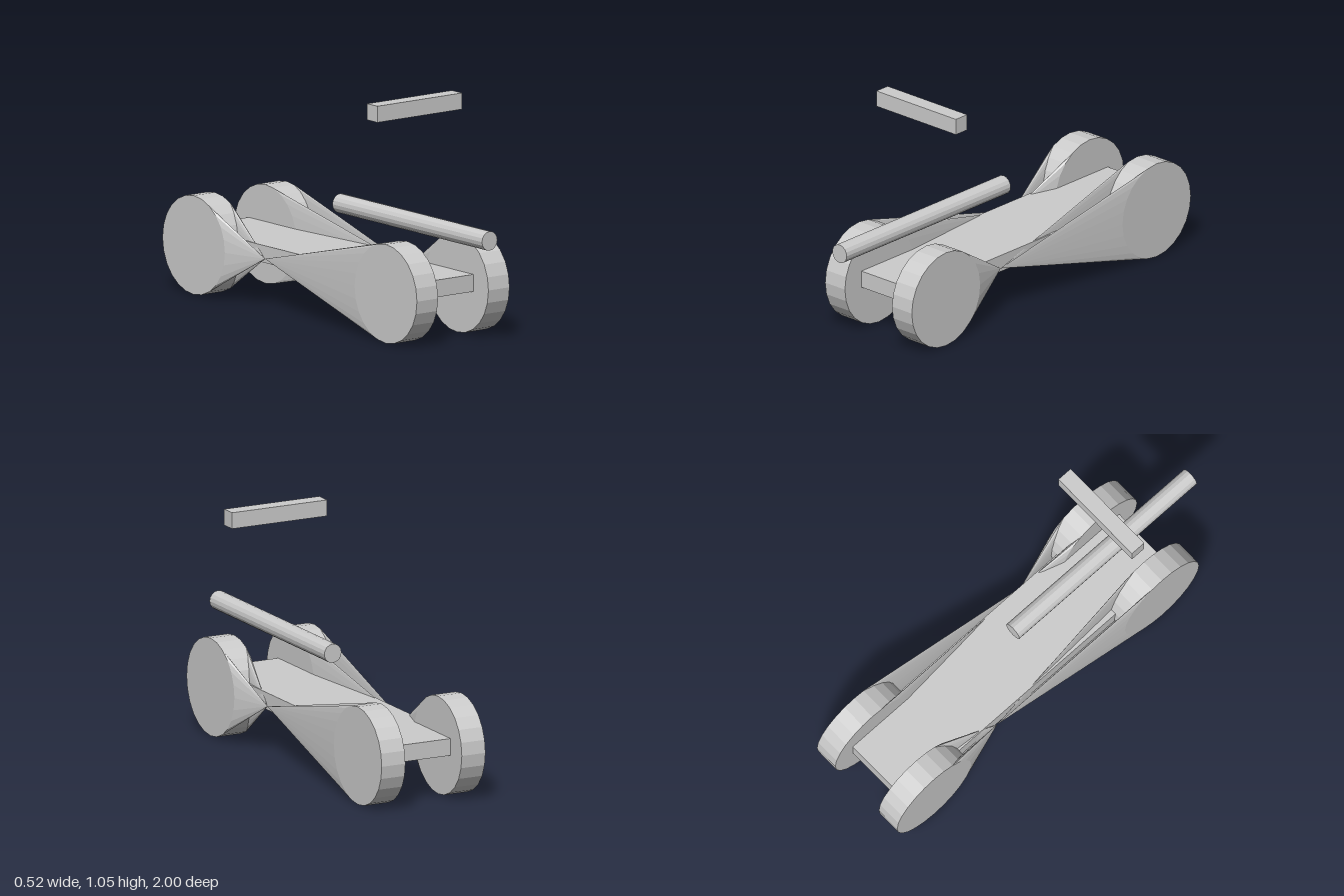
import * as THREE from 'three';

const R = 0.222, AXLE_Y = 0.223, SEG = 24;
const FRONT_Z = 0.59, BACK_Z = -0.778;

export function createModel() {
  const model = new THREE.Group();
  const solid = new THREE.MeshStandardMaterial({ color: 0xcccccc, flatShading: true });
  const sheet = new THREE.MeshStandardMaterial({ color: 0xcccccc, flatShading: true, side: THREE.DoubleSide });

  const add = (name, geometry, x, y, z, material = solid) => {
    const mesh = new THREE.Mesh(geometry, material);
    mesh.name = name;
    mesh.position.set(x, y, z);
    model.add(mesh);
    return mesh;
  };

  // Open fan of triangles from a wheel's rim to the point where the link pinches
  const rimFan = (x, wheelZ, apex) => {
    const pos = [], index = [];
    for (let i = 0; i < SEG; i++) {
      const a = (i / SEG) * Math.PI * 2;
      pos.push(x, AXLE_Y + R * Math.sin(a), wheelZ + R * Math.cos(a));
      index.push(i, (i + 1) % SEG, SEG);
    }
    pos.push(...apex);
    const g = new THREE.BufferGeometry();
    g.setAttribute('position', new THREE.Float32BufferAttribute(pos, 3));
    g.setIndex(index);
    g.computeVertexNormals();
    return g;
  };

  // Deck, long barrel and floating crossbar
  add('deck', new THREE.BoxGeometry(0.38, 0.077, 1.6), 0, 0.24, -0.095);
  add('barrel', new THREE.CylinderGeometry(0.043, 0.043, 1.065, 16).rotateX(Math.PI / 2), 0, 0.493, 0.4675);
  add('crossbar', new THREE.BoxGeometry(0.475, 0.073, 0.073), 0, 1.012, 0.466);

  // Wheels, and the pinched links joining front and back on each side
  const wheel = new THREE.CylinderGeometry(R, R, 0.118, SEG).rotateZ(Math.PI / 2);
  for (const side of [1, -1]) {
    const sideName = side > 0 ? 'left' : 'right';
    const apex = [side * 0.2, AXLE_Y, side > 0 ? 0.17 : -0.345];
    for (const [end, z] of [['Front', FRONT_Z], ['Back', BACK_Z]]) {
      add(`${sideName}${end}Wheel`, wheel, side * 0.2, AXLE_Y, z);
      add(`${sideName}${end}LinkOuter`, rimFan(side * 0.259, z, apex), 0, 0, 0, sheet);
      add(`${sideName}${end}LinkInner`, rimFan(side * 0.141, z, apex), 0, 0, 0, sheet);
    }
  }
  return model;
}
